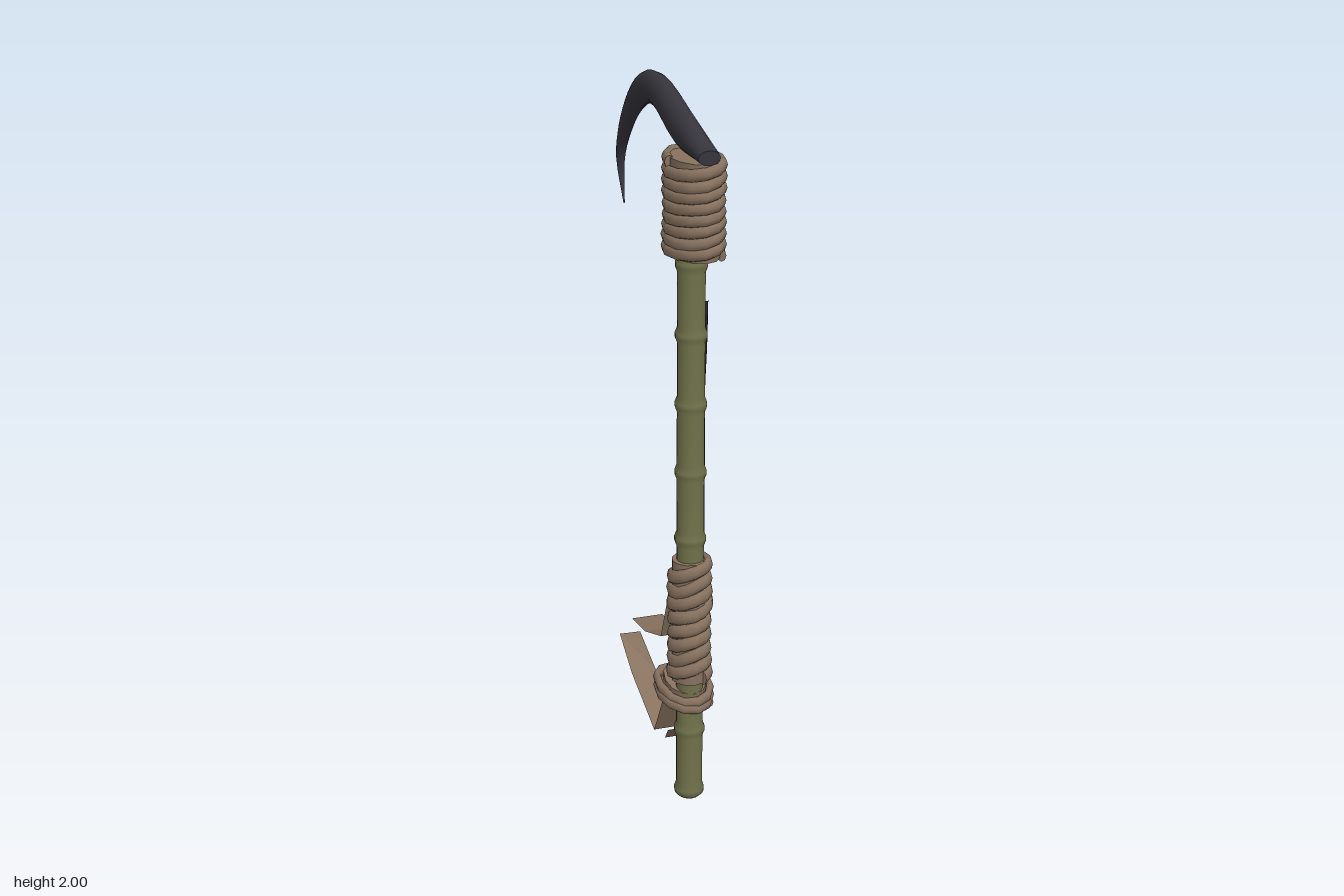
import * as THREE from 'three';

const material = (name, color, side = THREE.FrontSide) => {
  const m = new THREE.MeshStandardMaterial({ color, side });
  m.name = name;
  return m;
};

// Skin a list of equal-sized rings and close both ends with flat caps
function loft(rings) {
  const n = rings[0].length, pos = [], idx = [];
  const push = (p) => pos.push(p.x, p.y, p.z);
  rings.forEach((r) => r.forEach(push));
  for (let i = 0; i < rings.length - 1; i++) {
    for (let j = 0; j < n; j++) {
      const a = i * n + j, b = i * n + (j + 1) % n;
      idx.push(a, b, a + n, b, b + n, a + n);
    }
  }
  [rings[0], rings[rings.length - 1]].forEach((r, end) => {
    const base = pos.length / 3;
    r.forEach(push);
    for (let j = 1; j < n - 1; j++) {
      if (end) idx.push(base, base + j, base + j + 1);
      else idx.push(base, base + j + 1, base + j);
    }
  });
  const g = new THREE.BufferGeometry();
  g.setAttribute('position', new THREE.Float32BufferAttribute(pos, 3));
  g.setIndex(idx);
  g.computeVertexNormals();
  return g;
}

// Rope wound in an elliptical spiral, with a little hand-made wobble
function coil({ z, y0, y1, turns, rx, rz, w, h, tiltX = 0, tiltZ = 0, wobble = 0, start = 0 }) {
  const rings = [], steps = Math.round(turns * 12);
  for (let i = 0; i <= steps; i++) {
    const a = start + (i / 12) * Math.PI * 2;
    const bump = wobble * Math.sin(i * 0.83 + Math.sin(i * 0.31) * 2);
    const y = y0 + (y1 - y0) * i / steps + tiltX * Math.sin(a) + tiltZ * Math.cos(a) + bump;
    const ring = [];
    for (let k = 0; k < 8; k++) {
      const t = (k / 8) * Math.PI * 2;
      const out = Math.cos(t) * w + bump * 0.6;
      ring.push(new THREE.Vector3(
        Math.sin(a) * (rx + out), y - Math.sin(t) * h, z + Math.cos(a) * (rz + out)));
    }
    rings.push(ring);
  }
  return loft(rings);
}

// Flat strip through stations of [xLeft, xRight, y, z, optional y and z at the right edge]
function ribbon(stations) {
  const pos = [], idx = [];
  stations.forEach(([xl, xr, y, z, y2 = y, z2 = z], i) => {
    pos.push(xl, y, z, xr, y2, z2);
    if (i) idx.push(2 * i - 2, 2 * i - 1, 2 * i, 2 * i - 1, 2 * i + 1, 2 * i);
  });
  const g = new THREE.BufferGeometry();
  g.setAttribute('position', new THREE.Float32BufferAttribute(pos, 3));
  g.setIndex(idx);
  const flat = g.toNonIndexed();
  flat.computeVertexNormals();
  return flat;
}

export function createModel() {
  const model = new THREE.Group();
  const bamboo = material('bamboo green', 0x70724a);
  const cloth = material('wrapping brown', 0x88725f);
  const strip = material('strip brown', 0x88725f, THREE.DoubleSide);
  const horn = material('blade black', 0x36353d);
  const vineMat = material('vine black', 0x26262a);
  const add = (name, geometry, mat) => {
    const mesh = new THREE.Mesh(geometry, mat);
    mesh.name = name;
    model.add(mesh);
    return mesh;
  };
  const poleZ = 0.245;

  // Bamboo pole with a raised ring at each joint
  const profile = [[0, 0.005], [0.03, 0.005], [0.041, 0.016], [0.042, 0.03], [0.037, 0.045]];
  for (let y = 0.215; y < 1.6; y += 0.192) {
    profile.push([0.037, y - 0.022], [0.043, y - 0.006], [0.043, y + 0.006], [0.037, y + 0.022]);
  }
  profile.push([0.037, 1.75], [0, 1.75]);
  const pole = add('pole', new THREE.LatheGeometry(
    profile.map(([r, y]) => new THREE.Vector2(r, y)), 16), bamboo);
  pole.position.z = poleZ;

  // Curved blade: outer and inner edges as [half width, y, z]
  const edge = (pts) => new THREE.CatmullRomCurve3(pts.map((p) => new THREE.Vector3(...p)));
  const outer = edge([[0.03, 1.884, 0.376], [0.034, 1.947, 0.193], [0.032, 2.0, -0.02], [0.028, 1.98, -0.15],
    [0.022, 1.884, -0.283], [0.016, 1.767, -0.362], [0.012, 1.7, -0.374], [0.002, 1.577, -0.33]]);
  const inner = edge([[0, 1.845, 0.376], [0, 1.85, 0.167], [0, 1.9, 0.034], [0, 1.91, -0.07],
    [0, 1.873, -0.177], [0, 1.788, -0.283], [0, 1.69, -0.347], [0, 1.575, -0.329]]);
  const rings = [];
  for (let i = 0; i <= 28; i++) {
    const o = outer.getPoint(i / 28), n = inner.getPoint(i / 28), ring = [];
    for (let k = 0; k < 12; k++) {
      const t = (k / 12) * Math.PI * 2, c = (1 + Math.cos(t)) / 2;
      ring.push(new THREE.Vector3(Math.sin(t) * o.x,
        THREE.MathUtils.lerp(n.y, o.y, c), THREE.MathUtils.lerp(n.z, o.z, c)));
    }
    rings.push(ring);
  }
  add('blade', loft(rings), horn);

  // Solid cores under the windings
  const core = (name, rx, rz, y0, y1, z, tilt = 0) => {
    const g = new THREE.CylinderGeometry(1, 1, y1 - y0, 12).scale(rx, 1, rz).rotateX(tilt);
    add(name, g.translate(0, (y0 + y1) / 2, z), cloth);
  };
  core('headCore', 0.063, 0.103, 1.59, 1.845, 0.26);
  core('gripCore', 0.05, 0.05, 0.37, 0.73, poleZ);
  core('knotCore', 0.058, 0.078, 0.285, 0.355, 0.2, 0.22);

  // Windings round the head, the grip and the knot
  add('headWrapping', coil({ z: 0.26, y0: 1.59, y1: 1.842, turns: 8.6, rx: 0.066, rz: 0.104,
    w: 0.013, h: 0.017, tiltX: 0.006, wobble: 0.003, start: 1 }), cloth);
  add('gripWrapping', coil({ z: poleZ, y0: 0.375, y1: 0.722, turns: 8.4, rx: 0.051, rz: 0.051,
    w: 0.012, h: 0.02, tiltX: 0.01, tiltZ: 0.005, wobble: 0.005, start: 0.5 }), cloth);
  add('knotWrapping', coil({ z: 0.197, y0: 0.29, y1: 0.345, turns: 2.3, rx: 0.07, rz: 0.088,
    w: 0.011, h: 0.016, tiltX: -0.008, tiltZ: -0.022, wobble: 0.005, start: 1.2 }), cloth);

  // Loose strips hanging at the back
  add('upperStrip', ribbon([[-0.042, 0.05, 0.68, 0.195], [-0.042, 0.05, 0.6, 0.185],
    [-0.042, 0.05, 0.445, 0.12], [-0.042, 0.05, 0.395, -0.02], [-0.042, 0.05, 0.38, -0.143]]), strip);
  add('longStrip', ribbon([[-0.045, 0.03, 0.29, 0.165], [-0.045, 0.03, 0.125, 0.07],
    [-0.042, 0.032, 0.2, -0.15], [-0.041, 0.034, 0.272, -0.268, 0.252, -0.304]]), strip);
  add('shortStrip', ribbon([[-0.02, 0.046, 0.215, 0.25], [-0.02, 0.046, 0.145, 0.12],
    [0.0, 0.046, 0.072, 0.033]]), strip);

  // Thin dark vine down the left side of the pole
  const vinePath = new THREE.CatmullRomCurve3([[0.037, 1.46, 0.255], [0.042, 1.33, 0.235],
    [0.044, 1.2, 0.216], [0.044, 1.08, 0.216], [0.04, 0.92, 0.23], [0.037, 0.76, 0.238]]
    .map((p) => new THREE.Vector3(...p)));
  add('vine', new THREE.TubeGeometry(vinePath, 20, 0.006, 6), vineMat);

  return model;
}
